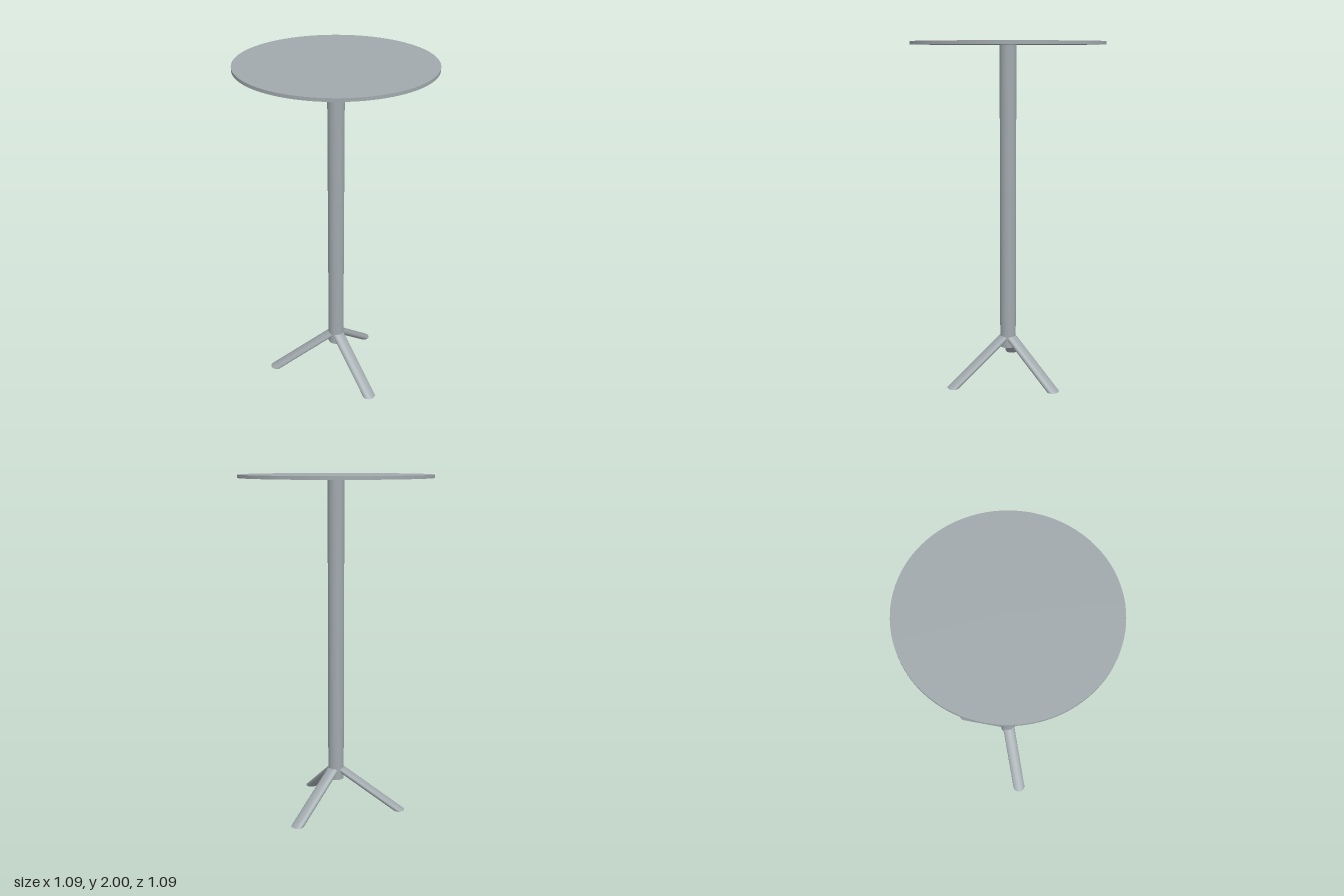
import * as THREE from 'three';

const steel = new THREE.MeshStandardMaterial({ color: 0xa1a9ad });
steel.name = 'brushed grey';

function cylinder(name, radius, bottom, top, segments) {
  const geometry = new THREE.CylinderGeometry(radius, radius, top - bottom, segments);
  const mesh = new THREE.Mesh(geometry, steel);
  mesh.name = name;
  mesh.position.y = (bottom + top) / 2;
  return mesh;
}

// Flattened tube slanting from the column to the floor, cut level at the foot
function leg(name, footX, footZ) {
  const height = 0.277;
  const reach = Math.hypot(footX, footZ);
  const geometry = new THREE.CylinderGeometry(1, 1, height, 32);
  geometry.scale(0.035, 1, 0.038);
  geometry.translate(0, height / 2, 0);
  // Shear outward towards the foot; applyMatrix4 also corrects the normals
  const slope = -reach / height;
  geometry.applyMatrix4(new THREE.Matrix4().set(
    1, slope, 0, reach,
    0, 1, 0, 0,
    0, 0, 1, 0,
    0, 0, 0, 1));
  const mesh = new THREE.Mesh(geometry, steel);
  mesh.name = name;
  mesh.rotation.y = -Math.atan2(footZ, footX);
  return mesh;
}

export function createModel() {
  const table = new THREE.Group();
  table.name = 'barTable';

  // Round top on a single column
  table.add(cylinder('tableTop', 0.543, 1.982, 2, 96));
  table.add(cylinder('column', 0.047, 0.197, 1.982, 48));

  // Three splayed legs
  const feet = [
    ['rightLeg', -0.385, -0.003],
    ['frontLeg', 0.185, 0.314],
    ['backLeg', 0.203, -0.274],
  ];
  for (const [name, x, z] of feet) table.add(leg(name, x, z));

  return table;
}
